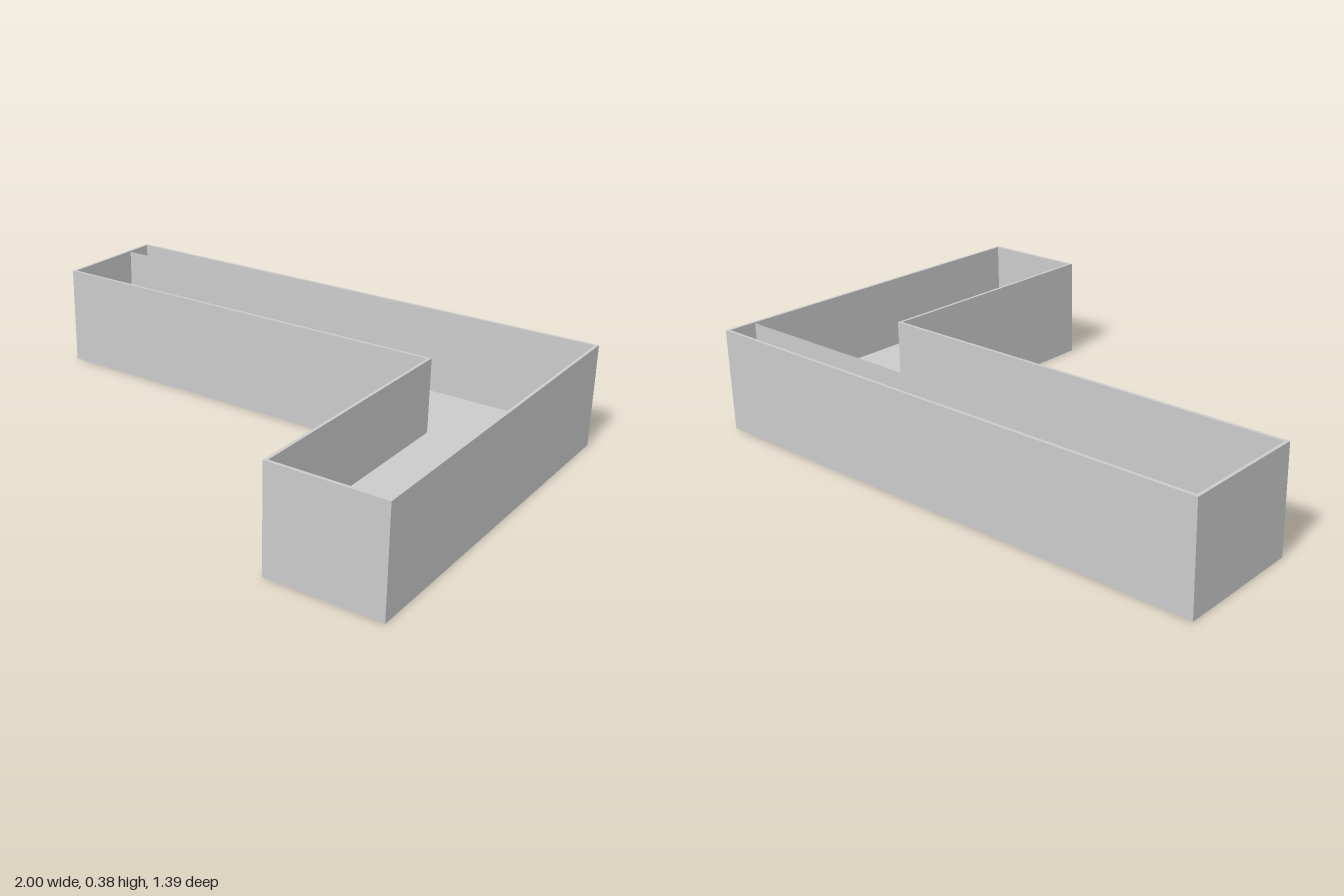
import * as THREE from 'three';

const H = 0.375;      // rim height
const FLOOR = 0.105;  // raised inner floor
const T = 0.011;      // wall thickness
const Z = 0.696;      // half depth
const ARM_X = 0.59;   // inner side of the short arm
const ARM_Z = -0.242; // front of the long arm

// L-shaped outline in plan (x, -z), inset by t
function outline(t) {
  return [
    [-1 + t, Z - t], [-1 + t, -ARM_Z + t], [ARM_X + t, -ARM_Z + t],
    [ARM_X + t, -Z + t], [1 - t, -Z + t], [1 - t, Z - t],
  ].map(([x, y]) => new THREE.Vector2(x, y));
}

// Extrude a plan shape upwards from y = 0
function extrudeUp(shape, height) {
  const g = new THREE.ExtrudeGeometry(shape, { depth: height, bevelEnabled: false });
  return g.rotateX(-Math.PI / 2);
}

export function createModel() {
  const group = new THREE.Group();
  const grey = new THREE.MeshStandardMaterial({ color: 0xcccccc });
  const thin = new THREE.MeshStandardMaterial({ color: 0xcccccc, side: THREE.DoubleSide });

  const add = (name, geometry, material) => {
    const mesh = new THREE.Mesh(geometry, material);
    mesh.name = name;
    group.add(mesh);
    return mesh;
  };

  // Thin wall running round the L
  const wall = new THREE.Shape(outline(0));
  wall.holes.push(new THREE.Path(outline(T)));
  add('planterWalls', extrudeUp(wall, H), grey);

  // Raised base filling the bottom
  add('planterBase', extrudeUp(new THREE.Shape(outline(T)), FLOOR), grey);

  // Thin partition parallel to the back wall
  const height = H - 0.003 - FLOOR;
  const divider = add('divider', new THREE.PlaneGeometry(2 - 2 * T, height), thin);
  divider.position.set(0, FLOOR + height / 2, -Z + 0.117);

  return group;
}
